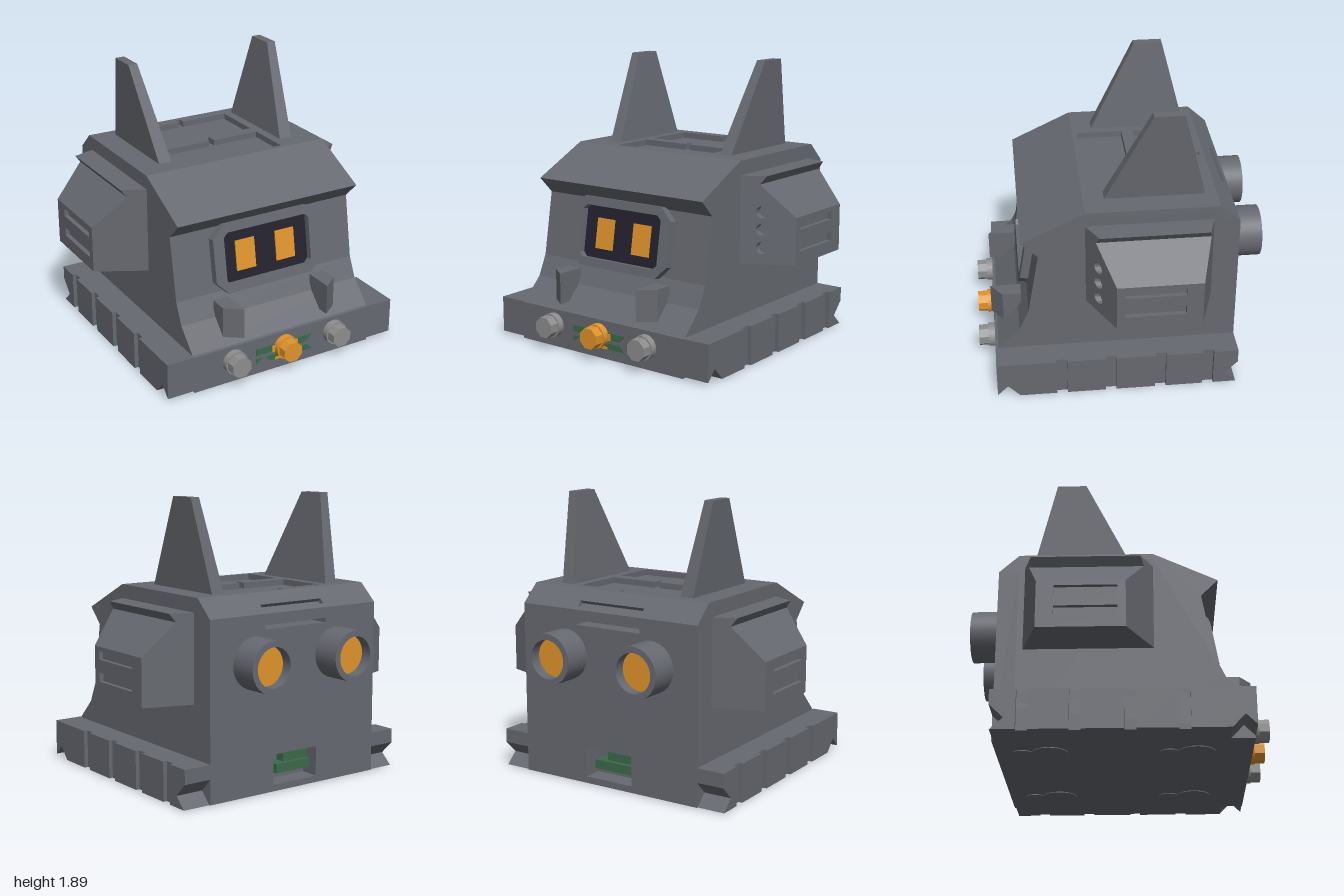
import * as THREE from 'three';

const mat = (name, color) => {
  const m = new THREE.MeshStandardMaterial({ color });
  m.name = name;
  return m;
};

export function createModel() {
  const model = new THREE.Group();
  const grey = mat('hull grey', 0x666970);
  const light = mat('knob grey', 0x8e8e8e);
  const orange = mat('lamp orange', 0xe0942c);
  const dark = mat('screen navy', 0x23212e);
  const green = mat('board green', 0x3a6a4a);

  const add = (name, geo, m = grey, parent = model) => {
    const mesh = new THREE.Mesh(geo, m);
    mesh.name = name;
    parent.add(mesh);
    return mesh;
  };
  const poly = (pts) => new THREE.Shape(pts.map(([a, b]) => new THREE.Vector2(a, b)));
  const rect = (a0, a1, b0, b1) => [[a0, b0], [a1, b0], [a1, b1], [a0, b1]];
  const extrude = (pts, depth, holes = []) => {
    const s = poly(pts);
    holes.forEach((h) => s.holes.push(h));
    return new THREE.ExtrudeGeometry(s, { depth, bevelEnabled: false, curveSegments: 8 });
  };
  // outline in (z, y) swept along x; (x, y) swept along z; (x, z) swept along y
  const sideways = (pts, x0, x1, holes) => extrude(pts, x1 - x0, holes).rotateY(-Math.PI / 2).translate(x1, 0, 0);
  const forward = (pts, z0, z1, holes) => extrude(pts, z1 - z0, holes).translate(0, 0, z0);
  const upward = (pts, y0, y1, holes) => extrude(pts, y1 - y0, holes).rotateX(Math.PI / 2).translate(0, y1, 0);
  const box = (x0, x1, y0, y1, z0, z1) =>
    new THREE.BoxGeometry(x1 - x0, y1 - y0, z1 - z0).translate((x0 + x1) / 2, (y0 + y1) / 2, (z0 + z1) / 2);
  const bend = (geo, rule) => {
    const p = geo.attributes.position, v = new THREE.Vector3();
    for (let i = 0; i < p.count; i++) {
      rule(v.fromBufferAttribute(p, i));
      p.setXYZ(i, v.x, v.y, v.z);
    }
    geo.computeVertexNormals();
    return geo;
  };
  const circle = (x, y, r) => new THREE.Path().absarc(x, y, r, 0, Math.PI * 2, true);

  // Main body with overhanging brow and flared chin
  add('body', sideways([[-0.63, 0.005], [0.85, 0.005], [0.85, 0.262], [0.83, 0.265], [0.685, 0.41], [0.62, 0.55],
    [0.545, 0.98], [0.655, 1.09], [0.24, 1.29], [0.24, 1.25], [-0.63, 1.25]], -0.68, 0.68));

  // Roof plate with two linked recesses
  const half = [[0.02, -0.6], [0.02, -0.547], [0.362, -0.547], [0.362, -0.186], [0.02, -0.186], [0.02, -0.106],
    [0.362, -0.106], [0.362, 0.207]];
  add('roofPlate', upward(rect(-0.68, 0.68, -0.63, 0.24), 1.25, 1.29,
    [poly([...half, ...half.map(([x, z]) => [-x, z]).reverse()])]));

  // Back wall with socket and vent, then the slotted chamfer above it
  add('backWall', forward(rect(-0.68, 0.68, 0.005, 1.17), -0.76, -0.63,
    [poly(rect(-0.18, 0.18, 0.05, 0.25)), poly(rect(-0.25, 0.25, 1.07, 1.1))]));
  add('socketBoard', box(-0.15, 0.13, 0.11, 0.17, -0.73, -0.63), green);
  add('socketBlock', box(-0.15, 0.05, 0.17, 0.23, -0.7, -0.63), green);
  const chamfer = [[-0.63, 1.17], [-0.63, 1.29], [-0.76, 1.17]];
  add('chamferLeft', sideways(chamfer, 0.25, 0.68));
  add('chamferRight', sideways(chamfer, -0.68, -0.25));
  add('chamferVent', sideways([[-0.63, 1.17], [-0.63, 1.29], [-0.705, 1.221], [-0.685, 1.2], [-0.715, 1.173],
    [-0.735, 1.193], [-0.76, 1.17]], -0.25, 0.25));

  // Tilted visor: octagonal frame, screen and eyes
  const visor = new THREE.Group();
  visor.name = 'visor';
  visor.position.set(0, 0.775, 0.638);
  visor.rotation.x = -0.165;
  model.add(visor);
  const octagon = (w, h, c) => [[-w, -h + c], [-w + c, -h], [w - c, -h], [w, -h + c], [w, h - c], [w - c, h],
    [-w + c, h], [-w, h - c]];
  add('visorFrame', forward(octagon(0.405, 0.232, 0.085), -0.06, 0, [poly(octagon(0.325, 0.175, 0.03))]), grey, visor);
  add('screen', forward(octagon(0.33, 0.18, 0.03), -0.06, -0.045), dark, visor);

  for (const s of [1, -1]) {
    const side = s > 0 ? 'left' : 'right';
    const span = (a, b) => [Math.min(a * s, b * s), Math.max(a * s, b * s)];
    const flip = (pts) => pts.map(([x, y]) => [x * s, y]);

    add(side + 'Eye', box(...span(0.08, 0.225), -0.11, 0.095, -0.045, -0.037), orange, visor);

    // Tapered ear
    const lerp = THREE.MathUtils.lerp;
    add(side + 'Ear', bend(new THREE.BoxGeometry(1, 1, 1), (v) => {
      const t = v.y + 0.5, out = v.x * s > 0, front = v.z > 0;
      v.x = s * (out ? lerp(0.515, 0.567, t) : lerp(0.423, 0.503, t));
      v.z = front ? lerp(0.105, -0.205, t) : lerp(-0.555, -0.4, t);
      v.y = lerp(1.285, 1.89, t);
    }));

    // Side pod: narrows outwards, three holes in front, two slots outside
    const podFront = (x) => 0.24 - (Math.abs(x) - 0.68) * 0.53;
    const podBack = (x) => -0.59 + (Math.abs(x) - 0.68) * 0.33;
    const outline = flip([[0.68, 0.615], [0.97, 0.615], [0.97, 0.96], [0.79, 1.14], [0.83, 1.195], [0.68, 1.195]]);
    add(side + 'Pod', bend(forward(outline, 0, 1), (v) => {
      v.z = v.z > 0.5 ? podFront(v.x) - 0.04 : podBack(v.x);
    }));
    add(side + 'PodFront', bend(forward(outline, 0, 1, [0.725, 0.845, 0.96].map((y) => circle(0.81 * s, y, 0.04))),
      (v) => { v.z = podFront(v.x) - (v.z > 0.5 ? 0 : 0.04); }));
    add(side + 'PodPlate', bend(sideways(rect(-0.485, 0.07, 0.615, 0.93), ...span(0.97, 1),
      [poly(rect(-0.375, 0.02, 0.845, 0.9)), poly(rect(-0.375, 0.02, 0.7, 0.76))]), (v) => {
      if (v.y > 0.92) v.y += 1 - Math.abs(v.x);
      if (v.z > 0.05) v.z = podFront(v.x);
      if (v.z < -0.45) v.z = podBack(v.x);
    }));

    // Skirt with notched corners and four vertical grooves
    const nose = [[0.7, 0.005], [0.78, 0.09], [0.85, 0.02], [0.85, 0.265]];
    const tail = [[-0.76, 0.265], [-0.76, 0.17], [-0.67, 0.08], [-0.75, 0.005]];
    add(side + 'Skirt', sideways([...nose, ...tail], ...span(0.68, 0.845)));
    const grooves = [0.42, 0.092, -0.24, -0.56], w = 0.036;
    const outer = span(0.845, 0.872);
    add(side + 'SkirtNose', sideways([[grooves[0] + w, 0.005], ...nose, [grooves[0] + w, 0.265]], ...outer));
    add(side + 'SkirtTail', sideways([[grooves[3] - w, 0.265], ...tail, [grooves[3] - w, 0.005]], ...outer));
    for (let i = 0; i < 3; i++) {
      add(side + 'SkirtPanel', box(...outer, 0.005, 0.265, grooves[i + 1] + w, grooves[i] - w));
    }

    // Wedge-shaped cheek block
    add(side + 'Cheek', upward(flip([[0.43, 0.66], [0.43, 0.785], [0.32, 0.865], [0.32, 0.66]]), 0.31, 0.518));

    // Rear exhaust tube with glowing lens
    add(side + 'Exhaust', new THREE.LatheGeometry([[0.17, 0], [0.17, 0.197], [0.17, 0.197], [0.13, 0.197],
      [0.13, 0.197], [0.13, 0]].map(([r, h]) => new THREE.Vector2(r, h)), 32)
      .rotateX(-Math.PI / 2).translate(0.335 * s, 0.865, -0.76));
    add(side + 'ExhaustLens', new THREE.CylinderGeometry(0.131, 0.131, 0.06, 32)
      .rotateX(Math.PI / 2).translate(0.335 * s, 0.865, -0.85), orange);

    // Underside feet marks
    for (const z of [-0.42, 0.5]) {
      add(side + 'FootPad', new THREE.CylinderGeometry(0.12, 0.12, 0.006, 24).translate(0.44 * s, 0.003, z));
      add(side + 'FootPin', new THREE.CylinderGeometry(0.07, 0.07, 0.006, 24).translate(0.44 * s, 0.003, z - 0.17));
    }
  }

  // Front knobs: round flange and octagonal cap
  for (const [x, m, name] of [[-0.39, light, 'rightKnob'], [0, orange, 'centreKnob'], [0.39, light, 'leftKnob']]) {
    add(name + 'Flange', new THREE.CylinderGeometry(0.08, 0.08, 0.05, 24).rotateX(Math.PI / 2).translate(x, 0.158, 0.87), m);
    add(name + 'Cap', new THREE.CylinderGeometry(0.073, 0.073, 0.075, 8).toNonIndexed()
      .rotateY(Math.PI / 8).rotateX(Math.PI / 2).translate(x, 0.158, 0.922), m).geometry.computeVertexNormals();
  }
  add('knobCrossbar', box(-0.1, 0.1, 0.138, 0.182, 0.845, 0.862), orange);
  add('knobLowerBar', box(-0.075, 0.075, 0.075, 0.092, 0.845, 0.859), orange);

  // Circuit strips behind the centre knob
  const strips = [
    [[-0.22, 0.14], [0.17, 0.14], [0.215, 0.187], [-0.22, 0.187]],
    [[-0.22, 0.075], [-0.17, 0.115], [-0.22, 0.115]],
    [[-0.11, 0.075], [0.22, 0.075], [0.18, 0.115], [-0.15, 0.115]],
  ];
  strips.forEach((pts) => add('circuitStrip', forward(pts, 0.848, 0.855), green));

  return model;
}
